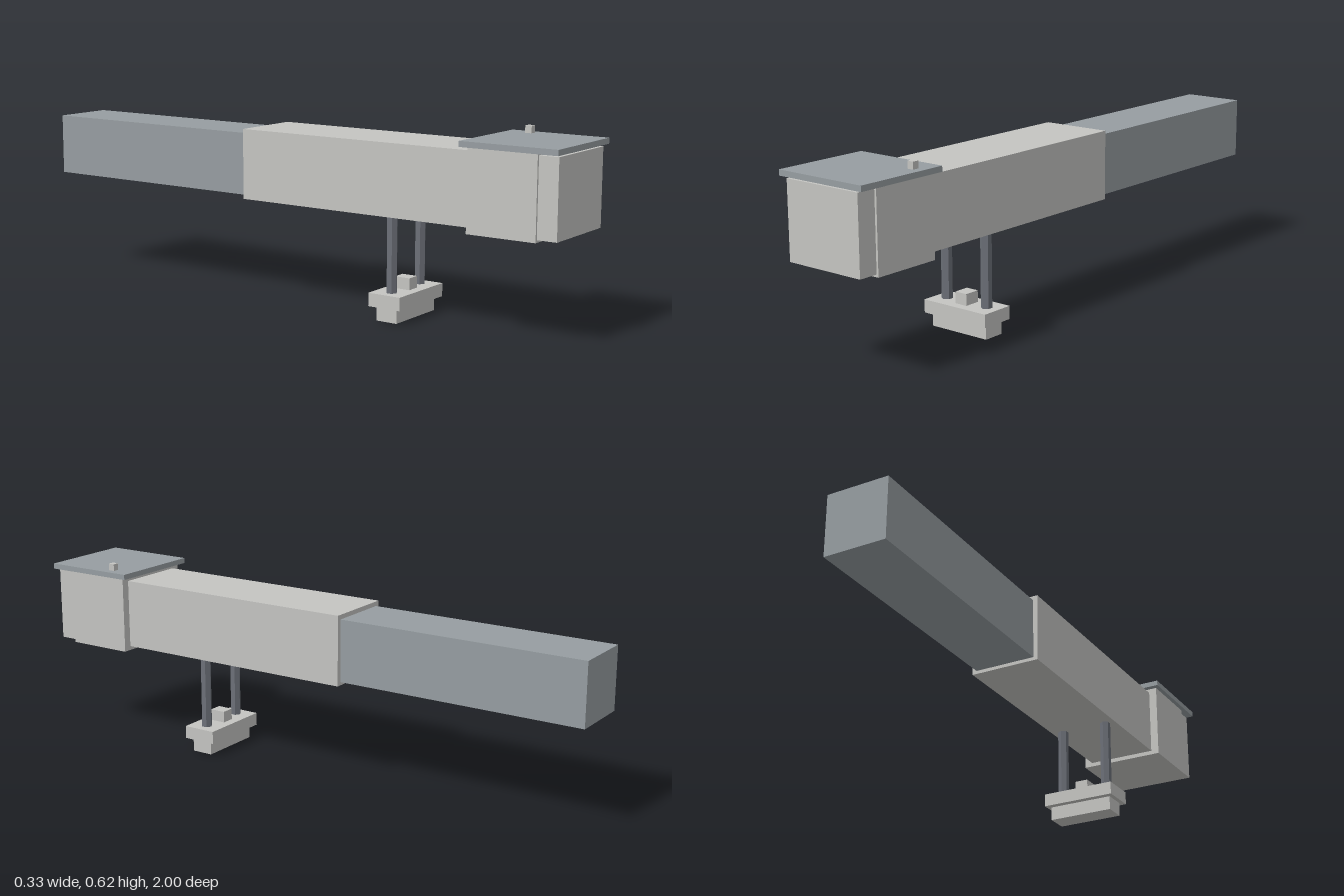
import * as THREE from 'three';

export function createModel() {
  const model = new THREE.Group();
  const material = (name, color) => {
    const m = new THREE.MeshStandardMaterial({ color });
    m.name = name;
    return m;
  };
  const lightGrey = material('light grey', 0xc4c4c1);
  const blueGrey = material('blue grey', 0x969da1);
  const darkGrey = material('dark grey', 0x6c7078);
  darkGrey.flatShading = true;

  // Box given by its lower and upper limits on each axis
  const box = (name, mat, [x0, x1], [y0, y1], [z0, z1]) => {
    const mesh = new THREE.Mesh(new THREE.BoxGeometry(x1 - x0, y1 - y0, z1 - z0), mat);
    mesh.position.set((x0 + x1) / 2, (y0 + y1) / 2, (z0 + z1) / 2);
    mesh.name = name;
    model.add(mesh);
  };
  const wide = (half, centre = 0) => [centre - half, centre + half];

  // Long body in two sections
  box('rearSection', blueGrey, wide(0.105), [0.345, 0.55], [-1, -0.158]);
  box('mainBody', lightGrey, wide(0.12), [0.334, 0.565], [-0.16, 0.7]);

  // Front housing with its panel, lid and small knob
  box('frontHousing', lightGrey, wide(0.148), [0.32, 0.58], [0.698, 0.928]);
  box('frontPanel', lightGrey, wide(0.141), [0.328, 0.573], [0.926, 0.992]);
  box('lid', blueGrey, wide(0.163), [0.579, 0.597], [0.677, 1]);
  box('lidKnob', lightGrey, wide(0.011, 0.125), [0.597, 0.62], wide(0.011, 0.757));

  // Stepped mount
  box('mountFoot', lightGrey, wide(0.111), [0, 0.047], wide(0.037, 0.398));
  box('mountPlate', lightGrey, wide(0.126), [0.046, 0.089], wide(0.058, 0.398));
  box('mountBlock', lightGrey, wide(0.0225), [0.088, 0.127], wide(0.027, 0.398));

  // Pair of six-sided posts
  for (const side of [-1, 1]) {
    const post = new THREE.Mesh(new THREE.CylinderGeometry(0.018, 0.018, 0.256, 6), darkGrey);
    post.position.set(side * 0.082, 0.21, 0.398);
    post.name = side > 0 ? 'leftPost' : 'rightPost';
    model.add(post);
  }
  return model;
}
